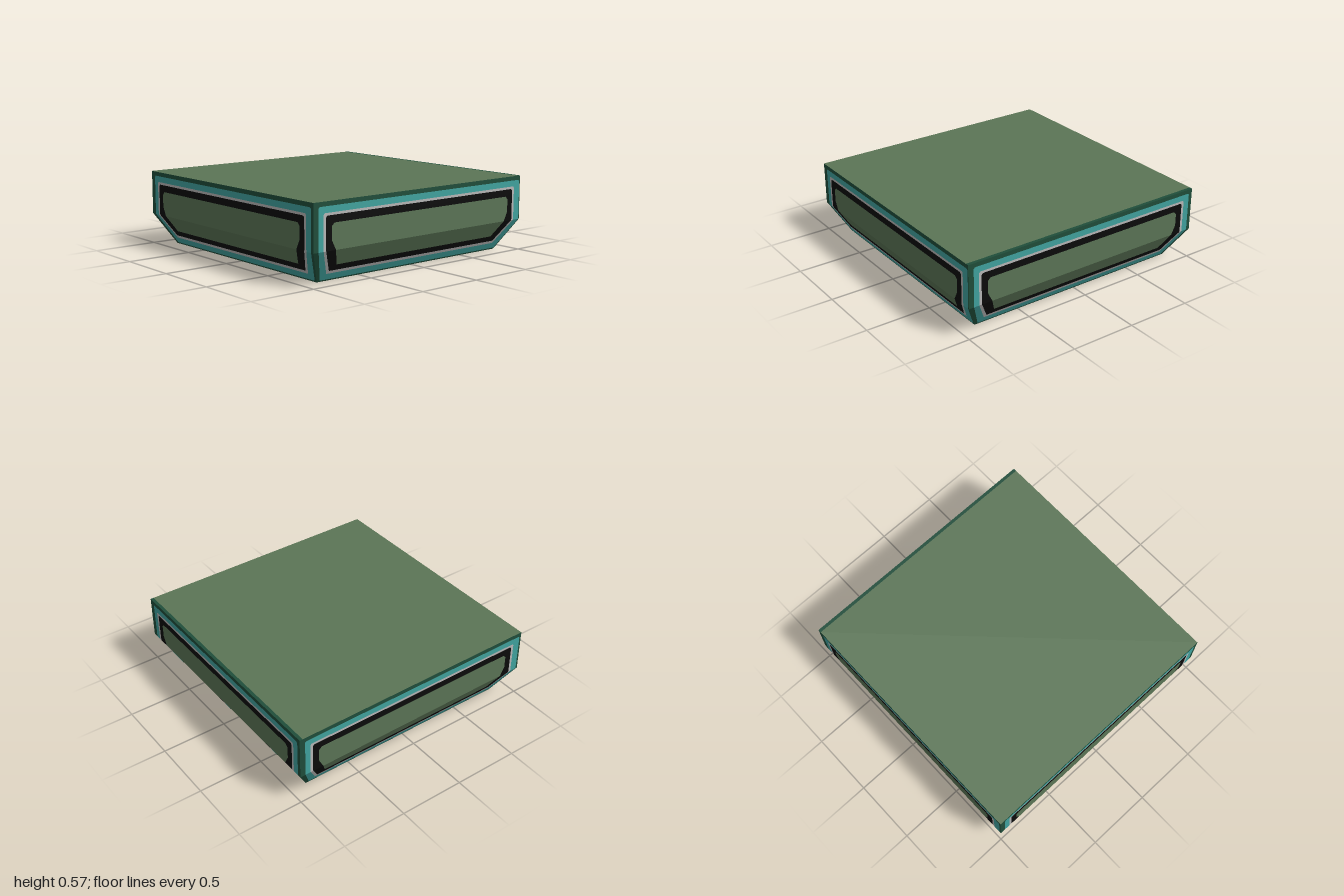
import * as THREE from 'three';
import { mergeGeometries } from 'three/addons/utils/BufferGeometryUtils.js';

const TOP = 0.567, FOLD = 0.235, HALF_BOTTOM = 0.867;

// Nested outlines of a side panel, outermost first.
// x: half width, xFold: half width at the fold, xBot: half width at the bottom,
// knee: height where the taper starts, shift: extra width on the right edge, c: corner cut
const LOOPS = [
  { x: 1, xFold: 1, xBot: HALF_BOTTOM, top: TOP, bot: 0, knee: FOLD, shift: 0, c: 0 },
  { x: 0.957, xFold: 0.957, xBot: 0.845, top: 0.535, bot: 0.01, knee: FOLD, shift: 0.036, c: 0.01 },
  { x: 0.915, xFold: 0.915, xBot: 0.81, top: 0.49, bot: 0.055, knee: FOLD, shift: 0.02, c: 0.01 },
  { x: 0.895, xFold: 0.893, xBot: 0.797, top: 0.472, bot: 0.076, knee: 0.245, shift: 0.02, c: 0.012 },
  { x: 0.845, xFold: 0.81, xBot: 0.75, top: 0.42, bot: 0.118, knee: 0.305, shift: 0.02, c: 0.022 },
];

// Points of one outline above or below the fold, running from left to right
function outline(l, upper, shiftScale) {
  const half = upper
    ? [[l.xFold, FOLD], [l.x, l.knee], [l.x, l.top - l.c], [l.x - l.c, l.top]]
    : [[l.xFold, FOLD], [l.xBot, l.bot]];
  const s = l.shift * shiftScale * (upper ? 1 : 0.5);
  const left = half.map(([x, y]) => new THREE.Vector2(-x, y));
  const right = half.map(([x, y]) =>
    new THREE.Vector2(x + (y === FOLD ? l.shift * shiftScale : s), y)).reverse();
  const points = [...left, ...right];
  return points.filter((p, i) => i === 0 || p.distanceTo(points[i - 1]) > 1e-5);
}

// Band between two outlines (or the filled centre), bent back below the fold
function bandGeometry(outer, inner, shiftScale) {
  return mergeGeometries([true, false].map((upper) => {
    const points = outline(outer, upper, shiftScale);
    if (inner) points.push(...outline(inner, upper, shiftScale).reverse());
    const geo = new THREE.ShapeGeometry(new THREE.Shape(points));
    const pos = geo.attributes.position;
    for (let i = 0; i < pos.count; i++) {
      const drop = Math.max(0, FOLD - pos.getY(i));
      pos.setZ(i, 1 - (drop * (1 - HALF_BOTTOM)) / FOLD);
    }
    geo.computeVertexNormals();
    return geo;
  }));
}

export function createModel() {
  const material = (name, color) => {
    const m = new THREE.MeshStandardMaterial({ color });
    m.name = name;
    return m;
  };
  const moss = material('moss green', 0x5b7556);
  const dark = material('dark green', 0x204e3b);
  const teal = material('teal', 0x41a39f);
  const grey = material('light grey', 0xb8b8b8);
  const black = material('black', 0x0b0b0b);

  const model = new THREE.Group();
  model.name = 'taperedSlab';

  // Four side panels, each made of nested bands around a plain centre
  const bands = [['edgeBand', dark], ['tealBand', teal], ['greyLine', grey],
    ['blackFrame', black], ['centrePanel', moss]];
  [['front', 1], ['right', 0.4], ['back', 0.8], ['left', 0.5]].forEach(([name, shift], i) => {
    const side = new THREE.Group();
    side.name = name + 'Side';
    bands.forEach(([bandName, mat], k) => {
      const mesh = new THREE.Mesh(bandGeometry(LOOPS[k], LOOPS[k + 1], shift), mat);
      mesh.name = bandName;
      side.add(mesh);
    });
    side.rotation.y = (i * Math.PI) / 2;
    model.add(side);
  });

  // Flat faces closing the slab
  const plate = (name, width, depth, mat, x, y, tilt) => {
    const mesh = new THREE.Mesh(new THREE.PlaneGeometry(width, depth), mat);
    mesh.name = name;
    mesh.rotation.x = tilt;
    mesh.position.set(x, y, 0);
    model.add(mesh);
  };
  const strip = 0.025;
  plate('topFace', 2 - strip, 2, moss, -strip / 2, TOP, -Math.PI / 2);
  plate('topEdgeStrip', strip, 2, dark, 1 - strip / 2, TOP, -Math.PI / 2);
  plate('bottomFace', 2 * HALF_BOTTOM, 2 * HALF_BOTTOM, moss, 0, 0, Math.PI / 2);

  return model;
}
